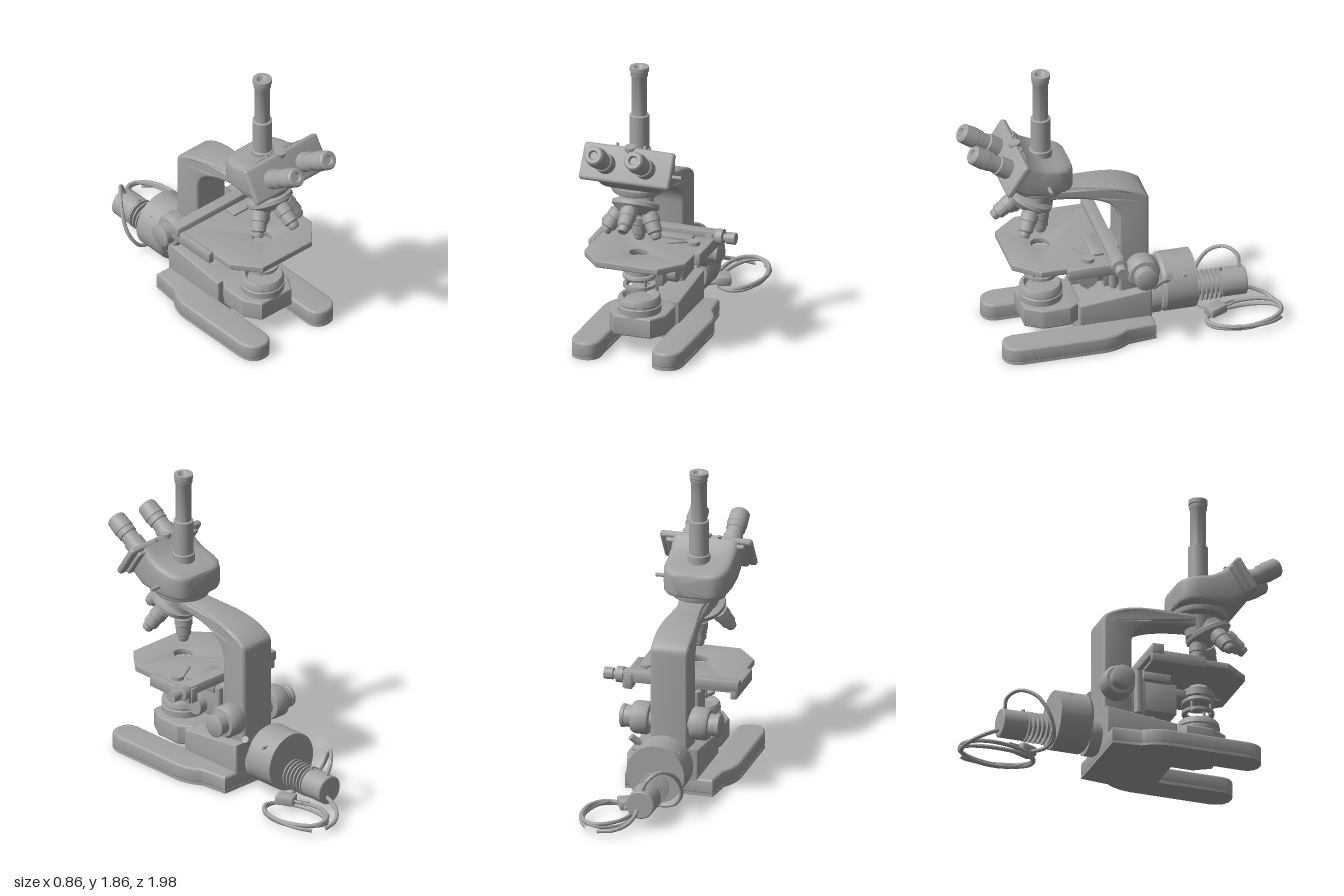
import * as THREE from 'three';
import { toCreasedNormals } from 'three/addons/utils/BufferGeometryUtils.js';
import { RoundedBoxGeometry } from 'three/addons/geometries/RoundedBoxGeometry.js';

const V = (x, y, z) => new THREE.Vector3(x, y, z);

export function createModel() {
  const model = new THREE.Group();
  const scope = new THREE.Group();
  scope.name = 'microscope';
  scope.position.x = -0.055; // optical axis is a little off centre
  model.add(scope);
  const grey = new THREE.MeshStandardMaterial({ color: 0xa3a3a3 });
  grey.name = 'grey enamel';

  // ---- helpers ----
  const add = (name, geo, parent = scope) => {
    const m = new THREE.Mesh(toCreasedNormals(geo, 0.6), grey);
    m.name = name;
    parent.add(m);
    return m;
  };
  const box = (name, x0, x1, y0, y1, z0, z1, r = 0.006) => {
    const m = add(name, new RoundedBoxGeometry(x1 - x0, y1 - y0, z1 - z0, 1, r));
    m.position.set((x0 + x1) / 2, (y0 + y1) / 2, (z0 + z1) / 2);
    return m;
  };
  // turned part: [radius, distance] pairs along a direction from an origin
  const turned = (name, origin, dir, profile, seg = 32) => {
    const m = add(name, new THREE.LatheGeometry(profile.map(p => new THREE.Vector2(...p)), seg));
    m.position.copy(origin);
    m.quaternion.setFromUnitVectors(V(0, 1, 0), dir.clone().normalize());
    return m;
  };
  const rod = (name, a, b, r, seg = 16) => {
    const d = b.clone().sub(a), l = d.length();
    return turned(name, a, d, [[0, 0], [r, 0], [r, l], [0, l]], seg);
  };
  const tube = (name, pts, r, n = 80) =>
    add(name, new THREE.TubeGeometry(new THREE.CatmullRomCurve3(pts), n, r, 8));
  const extrude = (shape, depth, bevel) => new THREE.ExtrudeGeometry(shape, {
    depth: depth - 2 * bevel, bevelEnabled: bevel > 0, bevelSize: bevel, bevelOffset: -bevel,
    bevelThickness: bevel, bevelSegments: 3, curveSegments: 16 }).translate(0, 0, bevel);
  const plan = (shape, y0, y1, bevel = 0) => extrude(shape, y1 - y0, bevel).rotateX(Math.PI / 2).translate(0, y1, 0);
  const side = (shape, width, bevel = 0) => extrude(shape, width, bevel).translate(0, 0, -width / 2).rotateY(-Math.PI / 2);
  const poly = pts => new THREE.Shape(pts.map(p => new THREE.Vector2(...p)));

  // ---- forked base ----
  const base = new THREE.Shape();
  base.moveTo(-0.28, -0.16);
  base.lineTo(0.28, -0.16);
  base.lineTo(0.3, 0.02);
  base.quadraticCurveTo(0.36, 0.1, 0.36, 0.2);
  base.lineTo(0.36, 0.7);
  base.quadraticCurveTo(0.35, 0.81, 0.26, 0.81);
  base.quadraticCurveTo(0.18, 0.81, 0.17, 0.73);
  base.lineTo(0.17, 0.3);
  base.lineTo(-0.17, 0.3);
  base.lineTo(-0.17, 0.73);
  base.quadraticCurveTo(-0.18, 0.81, -0.26, 0.81);
  base.quadraticCurveTo(-0.35, 0.81, -0.36, 0.7);
  base.lineTo(-0.36, 0.2);
  base.quadraticCurveTo(-0.36, 0.1, -0.3, 0.02);
  add('base', plan(base, 0.012, 0.11, 0.015));
  add('base sole', plan(base, 0, 0.02));
  add('pillar foot', side(poly([[-0.16, 0.08], [0.3, 0.08], [0.3, 0.245], [-0.16, 0.295]]), 0.37, 0.012));

  // ---- field lens housing ----
  add('lens housing', plan(poly([[-0.13, 0.28], [0.13, 0.28], [0.185, 0.36], [0.185, 0.53],
    [0.12, 0.635], [-0.12, 0.635], [-0.185, 0.53], [-0.185, 0.36]]), 0.12, 0.25, 0.012));
  turned('field lens mount', V(0, 0.24, 0.5), V(0, 1, 0), [[0.135, 0], [0.135, 0.05], [0.128, 0.055],
    [0.128, 0.065], [0.135, 0.07], [0.13, 0.1], [0.122, 0.112], [0.105, 0.112], [0.09, 0.085], [0, 0.095]], 40);

  // ---- curved arm, narrower toward the head ----
  const arm = new THREE.Shape();
  arm.moveTo(-0.16, 0.25);
  arm.lineTo(0.03, 0.25);
  arm.lineTo(0.03, 0.8);
  arm.bezierCurveTo(0.05, 0.93, 0.15, 0.95, 0.42, 0.975);
  arm.lineTo(0.57, 0.975);
  arm.lineTo(0.57, 1.055);
  arm.lineTo(0.4, 1.055);
  arm.bezierCurveTo(0.15, 1.05, -0.03, 1.03, -0.14, 0.95);
  arm.quadraticCurveTo(-0.16, 0.935, -0.16, 0.9);
  const armGeo = side(arm, 0.24, 0.018), ap = armGeo.attributes.position;
  for (let i = 0; i < ap.count; i++)
    ap.setX(i, ap.getX(i) * (1 - 0.33 * THREE.MathUtils.smoothstep(ap.getZ(i), -0.05, 0.35)));
  armGeo.computeVertexNormals();
  add('arm', armGeo);
  turned('head mount', V(0, 0.93, 0.51), V(0, 1, 0), [[0, 0], [0.085, 0], [0.105, 0.12], [0.165, 0.125],
    [0.17, 0.135], [0.17, 0.165], [0, 0.165]], 40);

  // ---- head body: rounded sections from back to front: z, half width, bottom, top ----
  const rows = [[0.325, 0.1, 1.1, 1.225], [0.332, 0.135, 1.09, 1.24], [0.35, 0.165, 1.085, 1.25], [0.39, 0.193, 1.085, 1.262],
    [0.44, 0.207, 1.085, 1.272], [0.52, 0.21, 1.085, 1.29], [0.6, 0.21, 1.1, 1.325], [0.695, 0.215, 1.175, 1.375]];
  const N = 32, pos = [], idx = [];
  const sq = v => Math.sign(v) * Math.abs(v) ** 0.3;
  rows.forEach(([z, w, b, t], k) => {
    const lean = Math.max(0, (z - 0.5) / 0.195) * 0.62;
    for (let i = 0; i < N; i++) {
      const a = i / N * Math.PI * 2, y = (b + t) / 2 + sq(Math.sin(a)) * (t - b) / 2;
      pos.push(w * sq(Math.cos(a)), y, z - (y - 1.28) * lean);
      const j = k * N + i, n = k * N + (i + 1) % N;
      if (k) idx.push(j - N, n - N, n, j - N, n, j);
    }
  });
  for (let i = 1; i < N - 1; i++) {
    const f = (rows.length - 1) * N;
    idx.push(0, i + 1, i, f, f + i, f + i + 1);
  }
  const headGeo = new THREE.BufferGeometry();
  headGeo.setAttribute('position', new THREE.Float32BufferAttribute(pos, 3));
  headGeo.setIndex(idx);
  add('head body', headGeo);
  rod('head pin', V(0.2, 1.155, 0.5), V(0.275, 1.155, 0.5), 0.012);

  // ---- tilted binocular plate and eyepieces ----
  const tilt = 0.57, eyeDir = V(0, Math.sin(tilt), Math.cos(tilt));
  const plate = add('binocular plate', new RoundedBoxGeometry(0.59, 0.235, 0.045, 4, 0.02));
  plate.position.set(0, 1.28, 0.715);
  plate.rotation.x = -tilt;
  const backPlate = add('binocular back plate', new RoundedBoxGeometry(0.5, 0.2, 0.03, 3, 0.012));
  backPlate.position.set(0, 1.262, 0.688);
  backPlate.rotation.x = -tilt;
  for (const s of [-1, 1]) {
    turned('eyepiece', V(s * 0.13, 1.275, 0.725), eyeDir, [[0.062, 0], [0.062, 0.1], [0.054, 0.105], [0.054, 0.15],
      [0.06, 0.155], [0.06, 0.19], [0.064, 0.195], [0.06, 0.28], [0.05, 0.292], [0.03, 0.292], [0.022, 0.275], [0, 0.275]]);
    rod('plate screw', V(s * 0.09, 1.37, 0.655), V(s * 0.09, 1.395, 0.64), 0.01);
  }
  rod('plate button', V(0, 1.36, 0.66), V(0, 1.39, 0.665), 0.035);

  // ---- vertical photo tube ----
  turned('photo tube', V(0, 1.25, 0.5), V(0, 1, 0), [[0.07, 0], [0.07, 0.07], [0.061, 0.075], [0.061, 0.29], [0.048, 0.295],
    [0.048, 0.54], [0.054, 0.55], [0.054, 0.575], [0.059, 0.58], [0.059, 0.608], [0.035, 0.608], [0.018, 0.585], [0, 0.585]]);

  // ---- revolving nosepiece with four objectives ----
  const lean = 0.47, axis = V(0, -Math.cos(lean), Math.sin(lean)), apex = V(0, 1.1, 0.5);
  turned('nosepiece turret', apex, axis, [[0, 0.08], [0.1, 0.08], [0.11, 0.115], [0.146, 0.13], [0.148, 0.155], [0.125, 0.175],
    [0.1, 0.2], [0, 0.21]], 40);
  const forward = V(0, Math.sin(lean), Math.cos(lean));
  for (let i = 0; i < 4; i++) {
    const a = i * Math.PI / 2;
    const dir = axis.clone().multiplyScalar(Math.cos(lean))
      .addScaledVector(forward, Math.cos(a) * Math.sin(lean)).addScaledVector(V(1, 0, 0), Math.sin(a) * Math.sin(lean));
    turned('objective', apex, dir, [[0.045, 0.16], [0.045, 0.22], [0.054, 0.225], [0.054, 0.27], [0.049, 0.275],
      [0.046, 0.335], [0.034, 0.345], [0.034, 0.365], [0.026, 0.378], [0, 0.378]], 28);
  }

  // ---- stage ----
  const stage = poly([[-0.33, 0.1], [0.33, 0.1], [0.33, 0.58], [0.2, 0.735], [-0.2, 0.735], [-0.33, 0.58]]);
  stage.holes.push(new THREE.Path().absarc(0, 0.5, 0.06, 0, Math.PI * 2, true));
  add('stage plate', plan(stage, 0.59, 0.632, 0.006));
  box('stage rail', -0.375, 0.365, 0.61, 0.672, 0.07, 0.145);
  for (const s of [-1, 1]) {
    box('stage side rail', s * 0.345 - 0.02, s * 0.345 + 0.02, 0.56, 0.635, 0.07, 0.42);
    rod('rail post', V(s * 0.11, 0.31, 0.07), V(s * 0.11, 0.59, 0.07), 0.025);
  }
  box('slide carriage', 0.0, 0.24, 0.632, 0.65, 0.16, 0.24);
  const finger = box('slide finger', 0.11, 0.25, 0.634, 0.65, 0.28, 0.3);
  finger.rotation.y = 0.5;
  rod('finger pivot', V(0.27, 0.63, 0.27), V(0.27, 0.655, 0.27), 0.04, 24);
  turned('stage drive knob', V(0.33, 0.635, 0.105), V(1, 0, 0), [[0.02, 0], [0.02, 0.03], [0.05, 0.032], [0.05, 0.075], [0.025, 0.08],
    [0.025, 0.095], [0.037, 0.098], [0.037, 0.155], [0, 0.155]], 28);
  box('stage drive hanger', 0.3, 0.35, 0.56, 0.66, 0.06, 0.15);

  // ---- stage carrier and condenser ----
  box('carrier slide', -0.1, 0.1, 0.31, 0.6, 0.02, 0.125);
  box('carrier block', -0.09, 0.09, 0.35, 0.55, 0.11, 0.33);
  box('carrier top', -0.13, 0.13, 0.54, 0.595, 0.1, 0.28);
  rod('carrier rod', V(0, 0.23, 0.205), V(0, 0.36, 0.205), 0.015);
  turned('condenser knob', V(0.08, 0.42, 0.24), V(1, 0, 0), [[0.03, 0], [0.03, 0.02], [0.06, 0.025], [0.06, 0.08], [0, 0.08]], 28);
  box('condenser arm', -0.04, 0.04, 0.5, 0.55, 0.28, 0.42);
  turned('condenser', V(0, 0.47, 0.5), V(0, 1, 0), [[0, 0], [0.1, 0], [0.105, 0.01], [0.1, 0.025], [0.085, 0.03], [0.085, 0.04],
    [0.1, 0.045], [0.1, 0.09], [0.08, 0.095], [0.06, 0.12], [0, 0.125]], 36);
  turned('filter ring', V(0, 0.41, 0.5), V(0, 1, 0), [[0.07, 0], [0.1, 0], [0.1, 0.02], [0.07, 0.02], [0.07, 0]], 36);
  for (let i = 0; i < 4; i++) {
    const a = Math.PI / 4 + i * Math.PI / 2, x = 0.085 * Math.cos(a), z = 0.5 + 0.085 * Math.sin(a);
    rod('condenser post', V(x, 0.4, z), V(x, 0.48, z), 0.01, 10);
  }
  rod('iris lever', V(0.03, 0.55, 0.58), V(0.05, 0.555, 0.66), 0.009);

  // ---- focus knobs ----
  for (const s of [-1, 1])
    turned('focus knob', V(0, 0.45, -0.095), V(s, 0, 0), [[0.06, 0.1], [0.06, 0.13], [0.095, 0.135], [0.103, 0.15], [0.103, 0.225],
      [0.09, 0.245], [0.068, 0.248], [0.068, 0.29], [0.073, 0.295], [0.073, 0.312], [0.06, 0.32], [0, 0.32]], 36);

  // ---- lamp house ----
  const back = V(0, 0, -1);
  turned('lamp collar', V(0, 0.15, -0.14), back, [[0, 0], [0.11, 0], [0.11, 0.03], [0.12, 0.035], [0.12, 0.1], [0, 0.1]], 36);
  turned('lamp drum', V(0, 0.228, -0.24), back, [[0, 0], [0.17, 0], [0.185, 0.02], [0.185, 0.215], [0, 0.215]], 48);
  box('drum slot cover', -0.14, 0.17, 0.34, 0.36, -0.385, -0.365);
  turned('lamp core', V(0, 0.155, -0.44), back, [[0.06, 0], [0.06, 0.22]], 28);
  for (let i = 0; i < 6; i++)
    rod('cooling fin', V(0, 0.155, -0.475 - i * 0.029), V(0, 0.155, -0.484 - i * 0.029), 0.095, 32);
  turned('lamp socket', V(0, 0.155, -0.635), back, [[0, 0], [0.09, 0], [0.09, 0.155], [0.083, 0.16], [0, 0.16]], 36);
  rod('clamp lever', V(0.08, 0.24, -0.2), V(0.18, 0.36, -0.25), 0.013);
  rod('clamp lever tip', V(0.17, 0.345, -0.245), V(0.21, 0.385, -0.265), 0.022);
  rod('socket screw', V(0, 0.24, -0.64), V(0, 0.265, -0.64), 0.012);

  // ---- cords ----
  tube('lamp cord', [V(0, 0.22, -0.76), V(-0.04, 0.31, -0.76), V(-0.1, 0.345, -0.7), V(-0.17, 0.29, -0.61),
    V(-0.19, 0.16, -0.53), V(-0.13, 0.06, -0.485), V(0, 0.04, -0.485), V(0.1, 0.05, -0.53), V(0.17, 0.07, -0.57)], 0.012);
  const coil = [];
  for (let i = 0; i <= 36; i++) {
    const a = 0.5 + i / 36 * Math.PI * 4.7, w = Math.sin(i * 0.37) * 0.01;
    coil.push(V(0.225 + (0.145 + w) * Math.sin(a), 0.035 + 0.02 * Math.sin(i * 0.5) + i * 0.0007, -0.74 - (0.235 + w) * Math.cos(a)));
  }
  tube('coiled cord', coil, 0.013, 200);
  tube('socket cord', [V(0.02, 0.12, -0.78), V(0.025, 0.09, -0.85), V(0.06, 0.06, -0.92), V(0.13, 0.04, -0.965), V(0.22, 0.03, -0.975)], 0.013, 30);
  const plug = box('plug', 0.11, 0.2, 0.04, 0.1, -0.63, -0.51, 0.012);
  plug.rotation.y = 0.45;
  for (const s of [-1, 1]) rod('plug prong', V(0.125 + s * 0.02, 0.07, -0.62 + s * 0.01), V(0.105 + s * 0.02, 0.07, -0.69 + s * 0.01), 0.008, 8);

  return model;
}
